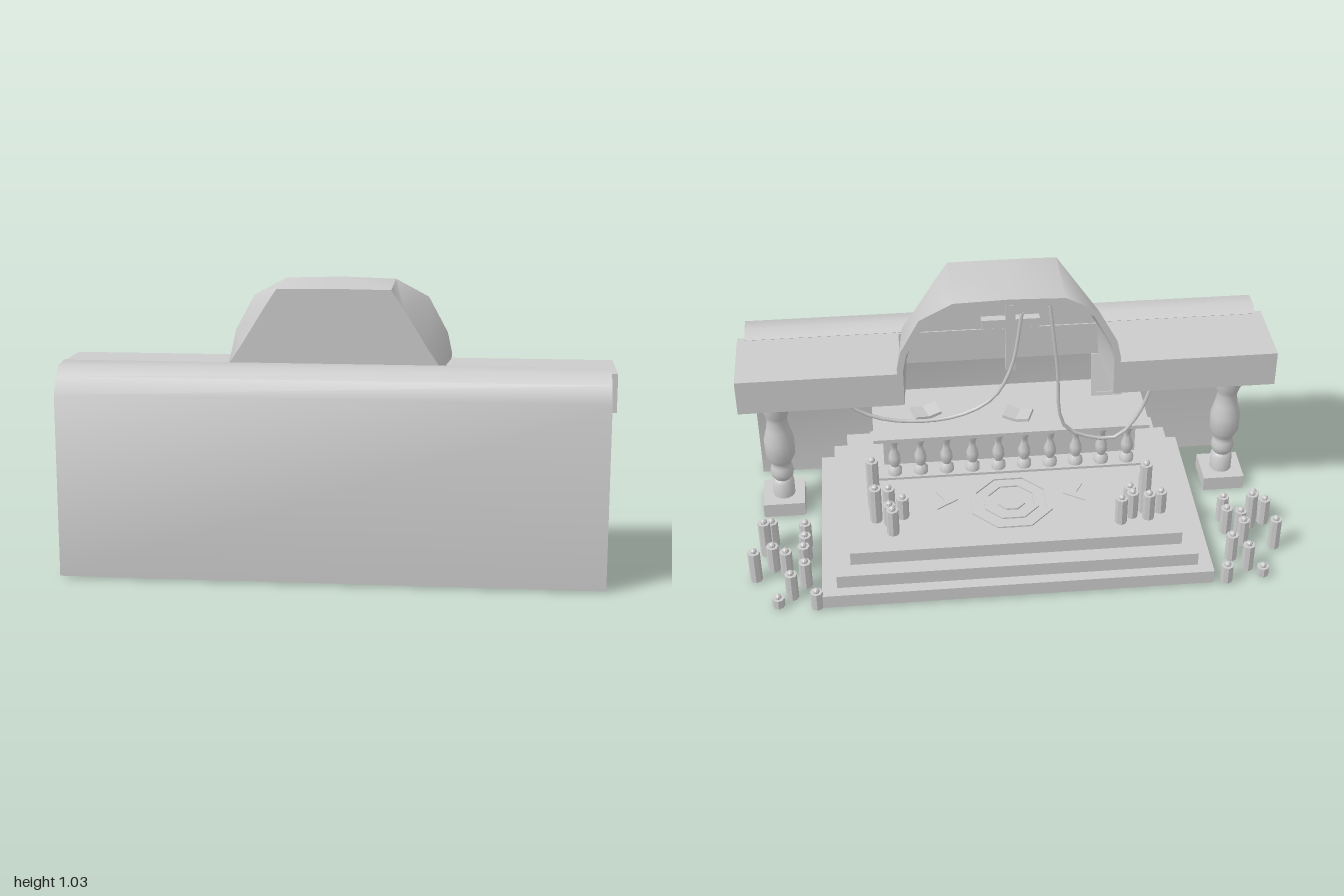
import * as THREE from 'three';
import { toCreasedNormals } from 'three/addons/utils/BufferGeometryUtils.js';

const V = (x, y, z) => new THREE.Vector3(x, y, z);
const smooth = new THREE.MeshStandardMaterial({ color: 0xcccccc, side: THREE.DoubleSide });
const flat = new THREE.MeshStandardMaterial({ color: 0xcccccc, side: THREE.DoubleSide, flatShading: true });
const MID = 0.01; // x of the symmetry plane

function add(parent, name, geo, material = flat) {
  const mesh = new THREE.Mesh(geo, material);
  mesh.name = name;
  parent.add(mesh);
  return mesh;
}

// Box given by its minimum and maximum on each axis
function box(parent, name, x0, x1, y0, y1, z0, z1) {
  const mesh = add(parent, name, new THREE.BoxGeometry(x1 - x0, y1 - y0, z1 - z0));
  mesh.position.set((x0 + x1) / 2, (y0 + y1) / 2, (z0 + z1) / 2);
  return mesh;
}

// Surface through a list of cross-sections with equal point counts
function loft(sections) {
  const n = sections[0].length, index = [];
  for (let s = 0; s < sections.length - 1; s++) {
    for (let i = 0; i < n - 1; i++) {
      const a = s * n + i, b = a + n;
      index.push(a, b, a + 1, a + 1, b, b + 1);
    }
  }
  const geo = new THREE.BufferGeometry().setFromPoints(sections.flat());
  geo.setIndex(index);
  return toCreasedNormals(geo, 0.7);
}

const lathe = (pts, sides) =>
  toCreasedNormals(new THREE.LatheGeometry(pts.map(p => new THREE.Vector2(...p)), sides), 0.9);

// Flat polygonal ring lying on the platform
function polygonRing(outer, inner, height, sides = 8) {
  const ring = r => Array.from({ length: sides }, (_, i) => {
    const a = (i + 0.5) / sides * Math.PI * 2;
    return new THREE.Vector2(r * Math.cos(a), r * Math.sin(a));
  });
  const shape = new THREE.Shape(ring(outer));
  if (inner) shape.holes.push(new THREE.Path(ring(inner)));
  return new THREE.ExtrudeGeometry(shape, { depth: height, bevelEnabled: false }).rotateX(-Math.PI / 2);
}

// Wall panel whose top curls over toward the canopy
function buildWall(root) {
  const profile = [[0.437, 0.008], [0.437, 0.66], [0.40, 0.72], [0.36, 0.752], [0.29, 0.76], [0.25, 0.738],
    [0.268, 0.665], [0.3, 0.71], [0.345, 0.712], [0.365, 0.698], [0.39, 0.65], [0.39, 0.008]];
  const shape = new THREE.Shape(profile.map(p => new THREE.Vector2(...p)));
  const geo = new THREE.ExtrudeGeometry(shape, { depth: 1.915, bevelEnabled: false });
  geo.rotateY(-Math.PI / 2).translate(0.967, 0, 0);
  add(root, 'curledWall', toCreasedNormals(geo, 0.75), smooth);
}

// Hollow canopy: two channel arms and an arched hood between them
function buildCanopy(root) {
  const canopy = new THREE.Group();
  canopy.name = 'canopy';
  root.add(canopy);
  for (const s of [-1, 1]) {
    const span = (a, b) => [MID + s * a, MID + s * b].sort((p, q) => p - q);
    box(canopy, 'armTop', ...span(0.39, 0.985), 0.715, 0.737, -0.02, 0.268);
    box(canopy, 'armFascia', ...span(0.385, 0.985), 0.6, 0.735, -0.02, 0.005);
    box(canopy, 'armEnd', ...span(0.96, 0.985), 0.6, 0.735, -0.02, 0.268);
  }
  box(canopy, 'canopyRearPanel', MID - 0.985, MID + 0.985, 0.6, 0.735, 0.245, 0.268);

  const mirror = (half, z, k = 1) => [
    ...half.map(([x, y]) => V(MID - x * k, 0.6 + (y - 0.6) * k, z)),
    ...half.slice(0, -1).reverse().map(([x, y]) => V(MID + x * k, 0.6 + (y - 0.6) * k, z))];
  const open = [[0.405, 0.6], [0.405, 0.76], [0.39, 0.83], [0.32, 0.96], [0.2, 1.024], [0, 1.03]];
  const closed = [[0.385, 0.6], [0.375, 0.745], [0.325, 0.82], [0.245, 0.95], [0.2, 1.018], [0, 1.02]];
  add(canopy, 'archedHood', loft([mirror(closed, 0.268), mirror(open, -0.02),
    mirror(open, -0.02, 0.945), mirror(closed, 0.25, 0.945)]), smooth);
  const panel = new THREE.Shape(mirror(closed, 0).map(p => new THREE.Vector2(p.x, p.y)));
  add(canopy, 'hoodPanel', new THREE.ExtrudeGeometry(panel, { depth: 0.018, bevelEnabled: false })
    .translate(0, 0, 0.25));

  // Hanging cross inside the hood
  box(canopy, 'crossUpright', -0.018, 0.018, 0.69, 0.97, 0.035, 0.065);
  box(canopy, 'crossArm', -0.105, 0.105, 0.875, 0.91, 0.035, 0.065);

  // Drooping cords
  const cords = [
    [[0.64, 0.63], [0.55, 0.54], [0.4, 0.49], [0.2, 0.5], [0.07, 0.57], [0.0, 0.7], [-0.04, 0.94]],
    [[-0.14, 0.97], [-0.17, 0.7], [-0.2, 0.43], [-0.29, 0.37], [-0.4, 0.36], [-0.48, 0.46], [-0.54, 0.64]]];
  for (const pts of cords) {
    const curve = new THREE.CatmullRomCurve3(pts.map(([x, y]) => V(x, y, 0.03)));
    add(canopy, 'hangingCord', new THREE.TubeGeometry(curve, 20, 0.007, 6), smooth);
  }
}

// Turned pillars on square blocks
function buildPillars(root) {
  const profile = [[0.042, 0.06], [0.042, 0.128], [0.032, 0.14], [0.042, 0.155], [0.045, 0.175], [0.04, 0.198],
    [0.036, 0.21], [0.042, 0.225], [0.057, 0.255], [0.058, 0.325], [0.045, 0.375], [0.038, 0.42],
    [0.043, 0.44], [0.055, 0.475], [0.055, 0.72]];
  for (const s of [-1, 1]) {
    const x = MID + s * 0.865;
    box(root, 'pillarBase', x - 0.08, x + 0.08, 0.003, 0.062, 0.11, 0.268);
    add(root, 'pillar', lathe(profile, 16), smooth).position.set(x, 0, 0.187);
  }
}

// Three-step platform with a ring emblem and arrow marks on top
function buildPlatform(root) {
  const tiers = [[0.72, -0.43], [0.665, -0.388], [0.612, -0.327]];
  tiers.forEach(([w, z], i) => {
    const y = 0.008 + i * 0.054;
    box(root, 'platformStep', MID - w, MID + w, y, y + 0.054, z, 0.39);
  });
  for (const [outer, inner] of [[0.165, 0.14], [0.11, 0.09], [0.055, 0]]) {
    add(root, 'floorRing', polygonRing(outer, inner, 0.006)).position.set(MID, 0.17, -0.085);
  }
  for (const s of [-1, 1]) {
    const arrow = new THREE.Shape([[0, 0], [0.08, 0.05], [0.05, 0], [0.08, -0.05]]
      .map(p => new THREE.Vector2(...p)));
    const mark = add(root, 'floorMark', new THREE.ExtrudeGeometry(arrow, { depth: 0.005, bevelEnabled: false })
      .rotateX(-Math.PI / 2));
    mark.position.set(MID + s * 0.2, 0.17, -0.06);
    mark.rotation.y = s > 0 ? 0 : Math.PI;
  }
}

// Table with a baluster front, open books and a standing frame
function buildTable(root) {
  const table = new THREE.Group();
  table.name = 'table';
  root.add(table);
  box(table, 'tablePlinth', -0.55, 0.53, 0.168, 0.18, 0.085, 0.39);
  box(table, 'tableBody', -0.5, 0.48, 0.18, 0.36, 0.17, 0.39);
  box(table, 'tableTop', -0.535, 0.515, 0.36, 0.375, 0.07, 0.39);
  const profile = [[0.028, 0], [0.028, 0.02], [0.015, 0.035], [0.024, 0.06], [0.023, 0.08], [0.012, 0.11],
    [0.013, 0.135], [0.024, 0.155], [0.024, 0.18]];
  for (let i = 0; i < 10; i++) {
    add(table, 'baluster', lathe(profile, 10), smooth).position.set(-0.46 + i * 0.1, 0.18, 0.12);
  }
  for (const [x, z, turn] of [[0.31, 0.22, 0.3], [-0.04, 0.17, -0.35]]) {
    const book = new THREE.Group();
    book.name = 'openBook';
    book.position.set(x, 0.375, z);
    book.rotation.y = turn;
    for (const s of [-1, 1]) {
      const page = box(book, 'bookHalf', -0.026, 0.026, -0.006, 0.006, -0.036, 0.036);
      page.position.set(s * 0.026, 0.013, 0);
      page.rotation.z = s * 0.2;
    }
    table.add(book);
  }
  // Frame leaning against a rear support
  const frame = new THREE.Group();
  frame.name = 'standingFrame';
  const border = new THREE.Shape([[-0.06, 0], [0.06, 0], [0.06, 0.175], [-0.06, 0.175]]
    .map(p => new THREE.Vector2(...p)));
  border.holes.push(new THREE.Path([[-0.045, 0.015], [-0.045, 0.16], [0.045, 0.16], [0.045, 0.015]]
    .map(p => new THREE.Vector2(...p))));
  add(frame, 'frameBorder', new THREE.ExtrudeGeometry(border, { depth: 0.012, bevelEnabled: false }));
  box(frame, 'framePicture', -0.046, 0.046, 0.014, 0.161, 0.006, 0.01);
  frame.position.set(-0.4, 0.377, 0.275);
  frame.rotation.x = 0.24;
  table.add(frame);
  box(table, 'frameSupport', -0.42, -0.38, 0.375, 0.54, 0.345, 0.365);
  box(table, 'frameBrace', -0.42, -0.38, 0.53, 0.545, 0.318, 0.365);
}

// Candles with a small bead on top; entries are x, z, top height
function buildCandles(root) {
  const ground = [[-0.9, -0.4, 0.045], [-0.76, -0.42, 0.08], [-0.85, -0.36, 0.12], [-0.8, -0.3, 0.12],
    [-0.975, -0.25, 0.14], [-0.86, -0.22, 0.12], [-0.86, -0.165, 0.12], [-0.81, -0.145, 0.12],
    [-0.91, -0.12, 0.16], [-0.965, -0.105, 0.12], [-0.93, -0.06, 0.12], [-0.81, -0.075, 0.12],
    [0.75, -0.42, 0.08], [0.89, -0.4, 0.045], [0.84, -0.36, 0.12], [0.79, -0.3, 0.12],
    [0.975, -0.25, 0.14], [0.86, -0.235, 0.12], [0.91, -0.2, 0.12], [0.795, -0.21, 0.12],
    [0.94, -0.11, 0.16], [0.79, -0.15, 0.12], [0.79, -0.08, 0.12], [0.915, -0.06, 0.12]];
  const raised = [[-0.54, -0.19, 0.26], [-0.49, -0.225, 0.28], [-0.43, -0.21, 0.28], [-0.385, -0.24, 0.28],
    [-0.48, -0.185, 0.39], [-0.485, -0.145, 0.32], [-0.43, -0.15, 0.26],
    [0.46, -0.225, 0.28], [0.42, -0.135, 0.26], [0.47, -0.17, 0.26], [0.52, -0.145, 0.32],
    [0.47, -0.125, 0.3], [0.525, -0.07, 0.39], [0.47, -0.07, 0.23]];
  for (const [list, floor] of [[ground, 0.008], [raised, 0.17]]) {
    for (const [x, z, top] of list) {
      const candle = new THREE.Group();
      candle.name = 'candle';
      candle.position.set(x, 0, z);
      const h = top - floor;
      add(candle, 'candleBody', new THREE.CylinderGeometry(0.023, 0.023, h, 8)).position.y = floor + h / 2;
      add(candle, 'candleBead', new THREE.SphereGeometry(0.013, 8, 6)).position.y = top + 0.004;
      root.add(candle);
    }
  }
}

export function createModel() {
  const root = new THREE.Group();
  root.name = 'shrine';
  [buildWall, buildCanopy, buildPillars, buildPlatform, buildTable, buildCandles].forEach(build => build(root));
  return root;
}
